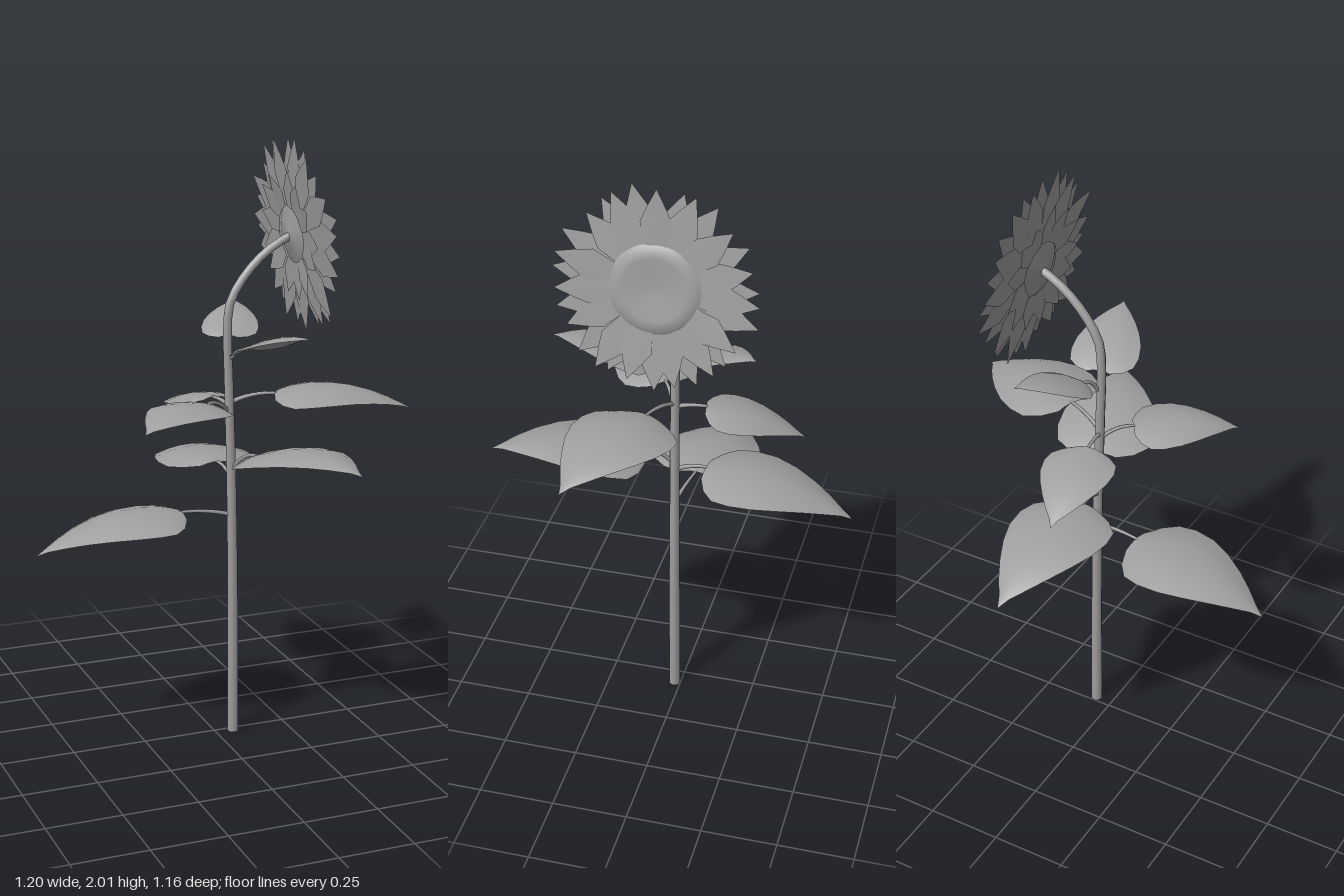
import * as THREE from 'three';

const V = (x, y, z) => new THREE.Vector3(x, y, z);
const thinMat = new THREE.MeshStandardMaterial({ color: 0x9f9f9f, side: THREE.DoubleSide });
const solidMat = new THREE.MeshStandardMaterial({ color: 0x9f9f9f });

function add(parent, name, geometry, material) {
  const mesh = new THREE.Mesh(geometry, material);
  mesh.name = name;
  parent.add(mesh);
  return mesh;
}

// Tube whose radius runs from r0 to r1
function taperedTube(curve, segments, r0, r1, sides) {
  const geo = new THREE.TubeGeometry(curve, segments, 1, sides);
  const pos = geo.attributes.position;
  const p = V(0, 0, 0);
  for (let i = 0; i < pos.count; i++) {
    const t = Math.floor(i / (sides + 1)) / segments;
    const c = curve.getPointAt(t);
    p.fromBufferAttribute(pos, i).sub(c).multiplyScalar(r0 + (r1 - r0) * t).add(c);
    pos.setXYZ(i, p.x, p.y, p.z);
  }
  return geo;
}

// Half-width of a leaf along its length, as [t, width]
const outline = [[0, 0.34], [0.05, 0.68], [0.13, 0.93], [0.25, 1], [0.4, 0.95], [0.55, 0.79],
  [0.7, 0.56], [0.82, 0.34], [0.93, 0.11], [1, 0.004]];

// Arched heart-shaped blade from base to tip, with drooping sides
function leafBlade(base, tip, halfWidth, arch) {
  const rows = outline.length - 1;
  const geo = new THREE.PlaneGeometry(2, 1, 6, rows);
  const pos = geo.attributes.position;
  const dir = tip.clone().sub(base);
  const side = dir.clone().cross(V(0, 1, 0)).normalize();
  for (let i = 0; i < pos.count; i++) {
    const s = pos.getX(i);
    const [t, w] = outline[Math.round((pos.getY(i) + 0.5) * rows)];
    const p = base.clone().addScaledVector(dir, t).addScaledVector(side, s * w * halfWidth);
    p.y += arch * 4 * t * (1 - t) - 0.2 * halfWidth * s * s * w;
    pos.setXYZ(i, p.x, p.y, p.z);
  }
  geo.computeVertexNormals();
  return geo;
}

// Kite-shaped petal pointing along +y, bent gently toward the tip
function petalGeometry(length, halfWidth, bend) {
  const shape = new THREE.Shape([
    [-0.024, 0.09], [0.024, 0.09], [halfWidth, 0.66 * length], [halfWidth * 0.6, 0.81 * length],
    [0, length], [-halfWidth * 0.6, 0.81 * length], [-halfWidth, 0.66 * length],
  ].map(([x, y]) => new THREE.Vector2(x, y)));
  const geo = new THREE.ShapeGeometry(shape);
  const pos = geo.attributes.position;
  for (let i = 0; i < pos.count; i++) {
    pos.setZ(i, bend * (pos.getY(i) / length) ** 2);
  }
  geo.computeVertexNormals();
  return geo;
}

export function createModel() {
  const plant = new THREE.Group();
  plant.name = 'flowerPlant';

  // Stem, upright and then bowing toward +x
  const stemCurve = new THREE.CatmullRomCurve3([
    V(0.06, 0, 0.02), V(0.058, 0.5, 0.02), V(0.052, 0.9, 0.02), V(0.043, 1.2, 0.02), V(0.038, 1.4, 0.02),
    V(0.045, 1.475, 0.02), V(0.078, 1.54, 0.02), V(0.138, 1.61, 0.02), V(0.2, 1.658, 0.02), V(0.264, 1.69, 0.02),
  ]);
  add(plant, 'stem', taperedTube(stemCurve, 40, 0.02, 0.014, 8), solidMat);
  const foot = add(plant, 'stemFoot', new THREE.CircleGeometry(0.02, 8), solidMat);
  foot.position.set(0.06, 0, 0.02);
  foot.rotation.x = Math.PI / 2;

  // Leaves: [stem point, blade base, blade tip, half width, arch]
  const leaves = [
    [V(0.052, 0.77, 0.02), V(-0.11, 0.79, -0.01), V(-0.6, 0.68, -0.05), 0.18, 0.052],
    [V(0.05, 0.9, 0.02), V(0.045, 0.925, -0.085), V(0.07, 0.82, -0.58), 0.168, 0.052],
    [V(0.05, 0.92, 0.02), V(0.1, 0.99, 0.11), V(0.26, 1.025, 0.575), 0.168, 0.05],
    [V(0.044, 1.15, 0.02), V(0.18, 1.185, 0.075), V(0.6, 1.13, 0.235), 0.172, 0.05],
    [V(0.044, 1.12, 0.02), V(-0.05, 1.17, 0.075), V(-0.335, 1.14, 0.275), 0.135, 0.035],
    [V(0.044, 1.14, 0.02), V(0.03, 1.15, -0.08), V(-0.02, 1.05, -0.4), 0.12, 0.03],
    [V(0.04, 1.29, 0.02), V(0.085, 1.335, 0.08), V(0.16, 1.42, 0.385), 0.115, 0.025],
    [V(0.04, 1.29, 0.02), V(0.065, 1.36, -0.04), V(0.18, 1.43, -0.275), 0.095, 0.02],
  ];
  leaves.forEach(([root, base, tip, halfWidth, arch], i) => {
    const leaf = new THREE.Group();
    leaf.name = `leaf${i + 1}`;
    const bow = root.clone().lerp(base, 0.5);
    bow.y = Math.max(root.y, base.y) + 0.004;
    const stalk = new THREE.QuadraticBezierCurve3(root, bow, base.clone().lerp(tip, 0.02));
    add(leaf, 'leafStalk', taperedTube(stalk, 8, 0.008, 0.005, 6), solidMat);
    add(leaf, 'leafBlade', leafBlade(base, tip, halfWidth, arch), thinMat);
    plant.add(leaf);
  });

  // Flower head, built facing +z and then turned toward +x and slightly up
  const head = new THREE.Group();
  head.name = 'flowerHead';
  head.position.set(0.272, 1.69, 0.02);
  head.rotation.set(-0.14, Math.PI / 2, 0, 'YXZ');
  plant.add(head);

  // Rings of petals, and shorter sepals behind
  const rings = [
    ['frontPetal', 15, 0.315, 0.05, 0.006, 0.002, 0],
    ['backPetal', 15, 0.325, 0.05, 0, -0.003, 0.5],
    ['sepal', 13, 0.215, 0.042, -0.014, -0.012, 0.25],
  ];
  for (const [name, count, length, halfWidth, bend, z, phase] of rings) {
    for (let i = 0; i < count; i++) {
      const vary = Math.sin(i * 2.4 + phase * 5);
      const geo = petalGeometry(length * (1 + 0.03 * vary), halfWidth, bend + 0.007 * Math.cos(i * 1.9));
      const petal = add(head, name, geo, thinMat);
      petal.position.z = z;
      petal.rotation.z = ((i + phase + 0.12 * vary) / count) * Math.PI * 2;
    }
  }

  // Low seed disc with a shallow hollow in the middle
  const profile = [[0.146, 0.001], [0.135, 0.008], [0.118, 0.014], [0.1, 0.016], [0.06, 0.01], [0, 0.007]];
  const disc = new THREE.LatheGeometry(profile.map(([r, y]) => new THREE.Vector2(r, y)), 32);
  disc.rotateX(Math.PI / 2);
  add(head, 'seedDisc', disc, thinMat);

  // Small cup joining the stem to the flower
  const cup = new THREE.CylinderGeometry(0.1, 0.016, 0.02, 16);
  cup.rotateX(Math.PI / 2);
  add(head, 'cup', cup, solidMat).position.z = -0.016;

  return plant;
}
